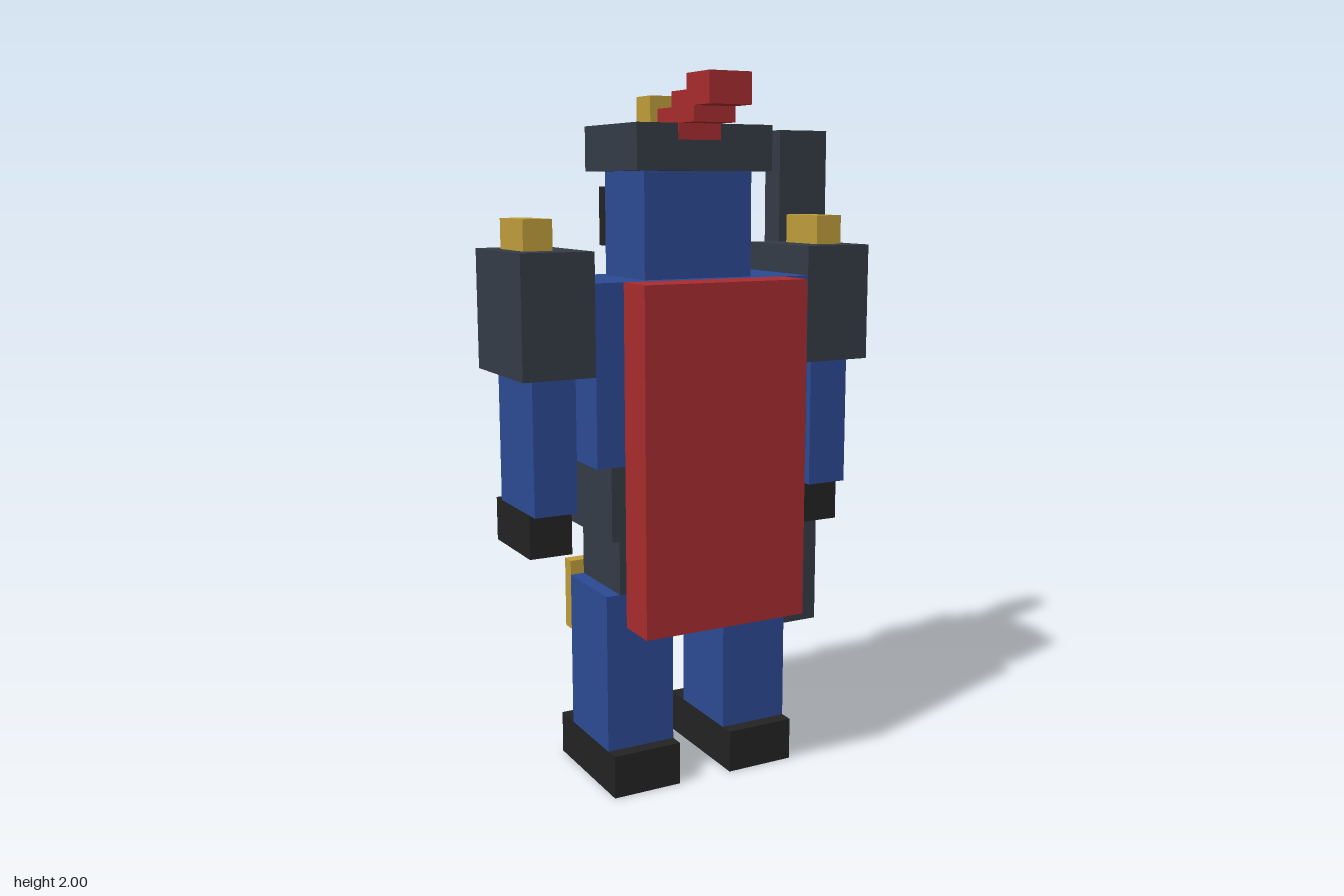
import * as THREE from 'three';

const U = 2 / 48;      // one block unit
const SHIFT = -0.5;    // body axis offset, the staff widens the +x side
const PROUD = 0.05;    // inlays stand out slightly, in units

const mat = (name, color) => {
  const m = new THREE.MeshStandardMaterial({ color });
  m.name = name;
  return m;
};

export function createModel() {
  const blue = mat('blue cloth', 0x2c4a94);
  const red = mat('red cloth', 0xa82c2f);
  const dark = mat('dark steel', 0x353c47);
  const black = mat('black leather', 0x232323);
  const gold = mat('gold trim', 0xbf9d3c);
  const orange = mat('orange glow', 0xc27d1c);

  const model = new THREE.Group();
  model.name = 'blockKnight';

  // Box from ranges in block units, x measured from the body axis
  function block(name, m, [x0, x1], [y0, y1], [z0, z1], grow = 0) {
    const g = 2 * grow;
    const mesh = new THREE.Mesh(
      new THREE.BoxGeometry((x1 - x0 + g) * U, (y1 - y0 + g) * U, (z1 - z0 + g) * U), m);
    mesh.position.set(((x0 + x1) / 2 + SHIFT) * U, (y0 + y1) / 2 * U, (z0 + z1) / 2 * U);
    mesh.name = name;
    model.add(mesh);
    return mesh;
  }

  // Same block on both sides of the body
  function pair(name, m, [x0, x1], y, z) {
    block(name + 'Left', m, [x0, x1], y, z);
    block(name + 'Right', m, [-x1, -x0], y, z);
  }

  // Legs
  pair('foot', black, [2, 7], [0, 3], [-6, 3]);
  pair('leg', blue, [2, 7], [3, 14], [-4, 2]);
  pair('kneeGuard', gold, [2, 7], [10, 15], [-5, -4]);

  // Body
  block('hips', dark, [-6, 6], [14, 18], [-4, 2]);
  block('belt', dark, [-7, 7], [18, 23], [-5, 3]);
  block('buckle', gold, [-2, 2], [18, 23], [-6, -5]);
  block('torso', blue, [-8, 8], [23, 35], [-5, 3]);
  block('chestPlate', dark, [-6, 6], [23, 34], [-6, -5]);
  block('emblem', gold, [-3, 3], [26, 32], [-7, -6]);
  block('cape', red, [-6, 6], [12, 35], [3, 6]);

  // Glowing inlay with clipped corners on the emblem
  const a = 2 * U, b = 1.4 * U;
  const outline = [[-b, -a], [b, -a], [a, -b], [a, b], [b, a], [-b, a], [-a, b], [-a, -b]];
  const inlay = new THREE.Mesh(
    new THREE.ShapeGeometry(new THREE.Shape(outline.map(([x, y]) => new THREE.Vector2(x, y)))),
    orange);
  inlay.rotation.y = Math.PI;
  inlay.position.set(SHIFT * U, 29 * U, -(7 + PROUD) * U);
  inlay.name = 'emblemGlow';
  model.add(inlay);

  // Arms
  pair('shoulder', dark, [8, 13], [29, 37], [-5, 3]);
  pair('shoulderTrim', gold, [10, 12], [37, 39], [-3, 1]);
  pair('arm', blue, [9, 12], [20, 29], [-4, 2]);
  pair('hand', black, [9, 12], [17, 20], [-5, 1]);

  // Head and hat
  block('head', blue, [-4, 4], [35, 42], [-4, 2]);
  block('eye', orange, [1, 4], [38, 40], [-5, -3], PROUD);
  block('eyePatch', black, [-4, 0], [37, 41], [-5, -4]);
  block('hat', dark, [-5, 5], [42, 45], [-5, 3]);
  block('hatCrest', gold, [-1, 1], [42, 47], [-5, -3], PROUD);

  // Stepped plume
  block('plumeRoot', red, [-2, 1], [44, 45], [-1, 3], PROUD);
  block('plumeBase', red, [-2, 1], [44, 46], [0, 3]);
  block('plumeMiddle', red, [-2, 1], [45, 47], [2, 5]);
  block('plumeTip', red, [-2, 1], [46, 48], [4, 7]);

  // Weapon in the left hand
  block('weaponShaft', dark, [10, 13], [8, 22], [-6, -3]);
  block('weaponCollar', gold, [10, 13], [22, 25], [-6, -3]);
  block('weaponBlade', dark, [10, 14], [25, 45], [-6, -4]);
  block('weaponGlow', orange, [13, 14], [26, 44], [-6, -5], PROUD);

  return model;
}
